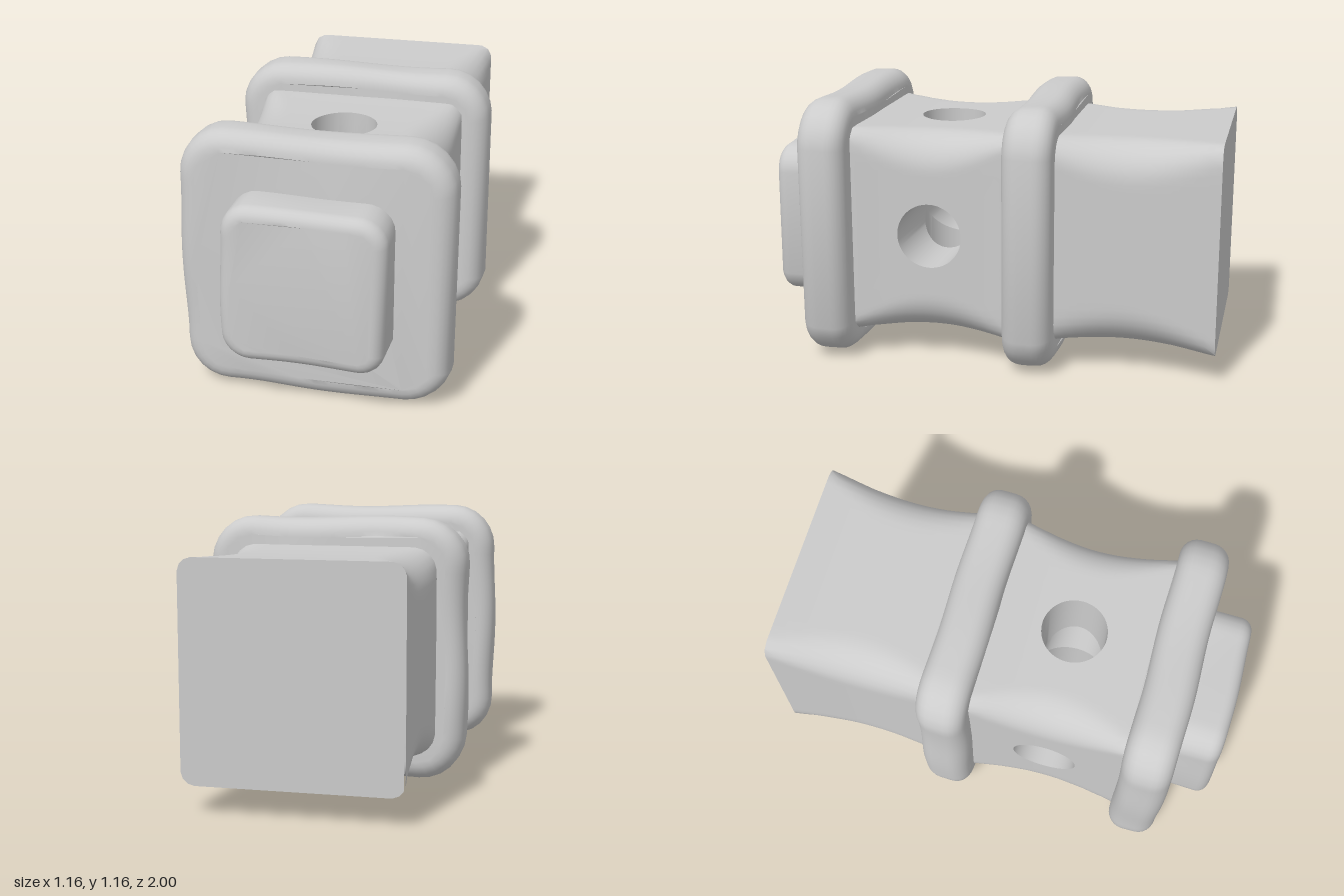
import * as THREE from 'three';
import { mergeGeometries, toCreasedNormals } from 'three/addons/utils/BufferGeometryUtils.js';

const CY = 0.59;        // height of the long axis
const BORE_Z = 0.25;    // where the two bores cross
const BORE_R = 0.143;
const material = new THREE.MeshStandardMaterial({ color: 0xcccccc });
const lerp = THREE.MathUtils.lerp;

// Rounded square outline, evenly sampled
function roundedSquare(half, r, count = 96) {
  const s = new THREE.Shape(), f = half - r;
  s.moveTo(half, -f);
  s.absarc(f, f, r, 0, Math.PI / 2);
  s.absarc(-f, f, r, Math.PI / 2, Math.PI);
  s.absarc(-f, -f, r, Math.PI, Math.PI * 1.5);
  s.absarc(f, -f, r, Math.PI * 1.5, Math.PI * 2);
  return new THREE.Shape(s.getSpacedPoints(count).slice(0, -1));
}

// Gentle hand-shaped unevenness
function roughen(geo, amp) {
  const p = geo.attributes.position;
  for (let i = 0; i < p.count; i++) {
    const x = p.getX(i), y = p.getY(i), z = p.getZ(i);
    p.setXYZ(i,
      x + amp * Math.sin(9 * y + 5 * z + 1),
      y + amp * Math.sin(8 * x - 6 * z + 2),
      z + amp * 0.6 * Math.sin(11 * x + 7 * y));
  }
  return geo;
}

// Soft slab between two z planes
function slab(name, half, corner, z0, z1, bevel) {
  const geo = new THREE.ExtrudeGeometry(roundedSquare(half - bevel, corner - bevel), {
    depth: z1 - z0 - 2 * bevel, bevelSize: bevel, bevelThickness: bevel, bevelSegments: 6, steps: 2,
  });
  geo.translate(0, 0, z0 + bevel);
  const mesh = new THREE.Mesh(toCreasedNormals(roughen(geo, 0.006), 0.6), material);
  mesh.name = name;
  mesh.position.y = CY;
  return mesh;
}

// Beam section at z: softer, slightly slimmer in the middle of each span
function section(z) {
  const t = z < -0.2 ? (z + 1) / 0.8 : (z + 0.1) / 0.7;
  const sag = Math.sin(Math.PI * THREE.MathUtils.clamp(t, 0, 1));
  const half = 0.462 - 0.012 * sag, r = 0.06 + 0.11 * sag, f = half - r;
  return { r, f, length: f + r * Math.PI / 4 };
}

// Wraps a distance s across one face around the corner rounding
function wrap(s, z) {
  const { r, f } = section(z), d = Math.abs(s);
  if (d <= f) return [s, f + r];
  const a = (d - f) / r;
  return [Math.sign(s) * (f + r * Math.sin(a)), f + r * Math.cos(a)];
}

// Four turned copies of one face, joined into one mesh
function fourSided(name, face) {
  const sides = [0, 1, 2, 3].map(k => face.clone().rotateZ(k * Math.PI / 2));
  const mesh = new THREE.Mesh(toCreasedNormals(mergeGeometries(sides), 0.6), material);
  mesh.name = name;
  mesh.position.y = CY;
  return mesh;
}

// Face with a bore: row 0 is the crossing of the bores, row 1 the rim, the rest spread to the edges
function boredFace() {
  const around = 64, rows = 12, halfZ = 0.45;
  const geo = new THREE.RingGeometry(1, 2, around, rows);
  const p = geo.attributes.position;
  for (let i = 0; i < p.count; i++) {
    const row = Math.floor(i / (around + 1));
    const a = (i % (around + 1)) / around * Math.PI * 2;
    const c = Math.cos(a), s = Math.sin(a), m = Math.max(Math.abs(c), Math.abs(s));
    const t = Math.max(0, row - 1) / (rows - 1);
    const z = BORE_Z - lerp(BORE_R * s, halfZ * s / m, t);
    const across = lerp(BORE_R * c, section(z).length * c / m, t);
    const [x, h] = wrap(across, z);
    p.setXYZ(i, x, row === 0 ? Math.abs(BORE_R * c) : h, z);
  }
  return geo;
}

// Plain face of the rear beam
function plainFace() {
  const geo = new THREE.PlaneGeometry(2, 0.8, 24, 16);
  const p = geo.attributes.position;
  for (let i = 0; i < p.count; i++) {
    const z = -0.6 - p.getY(i);
    const [x, h] = wrap(p.getX(i) * section(z).length, z);
    p.setXYZ(i, x, h, z);
  }
  return geo;
}

export function createModel() {
  const model = new THREE.Group();
  model.name = 'boredBeam';

  model.add(fourSided('boredBlock', boredFace()));
  model.add(fourSided('rearBeam', plainFace()));

  // Flat cut end
  const end = new THREE.Mesh(new THREE.ShapeGeometry(roundedSquare(0.462, 0.06)), material);
  end.name = 'rearEnd';
  end.rotation.y = Math.PI;
  end.position.set(0, CY, -1);
  model.add(end);

  // Collars and front boss
  model.add(slab('frontCollar', 0.576, 0.2, 0.593, 0.813, 0.08));
  model.add(slab('rearCollar', 0.576, 0.2, -0.307, -0.087, 0.08));
  model.add(slab('frontBoss', 0.343, 0.12, 0.75, 0.997, 0.055));
  return model;
}
